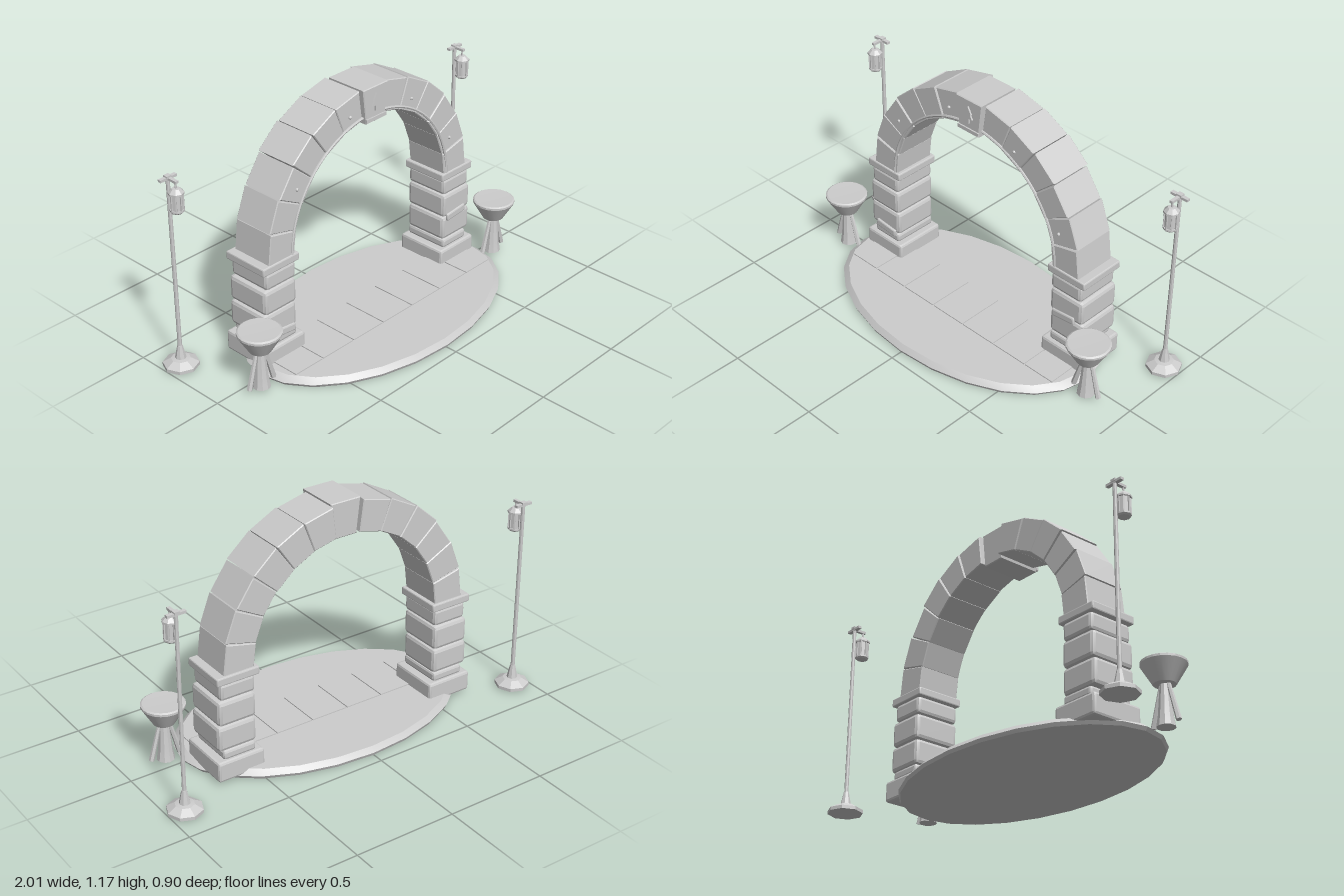
import * as THREE from 'three';
import { toCreasedNormals } from 'three/addons/utils/BufferGeometryUtils.js';
import { RoundedBoxGeometry } from 'three/addons/geometries/RoundedBoxGeometry.js';

const stone = new THREE.MeshStandardMaterial({ color: 0xcccccc });
stone.name = 'lightGreyStone';

function add(parent, name, geo, x = 0, y = 0, z = 0) {
  const mesh = new THREE.Mesh(toCreasedNormals(geo, 0.3), stone);
  mesh.name = name;
  mesh.position.set(x, y, z);
  parent.add(mesh);
  return mesh;
}

// box given by its limits on each axis
function block(parent, name, x0, x1, y0, y1, z0, z1, r = 0.012) {
  const geo = new RoundedBoxGeometry(x1 - x0, y1 - y0, z1 - z0, 1, r);
  return add(parent, name, geo, (x0 + x1) / 2, (y0 + y1) / 2, (z0 + z1) / 2);
}

const lathe = (pts, sides) =>
  new THREE.LatheGeometry(pts.map(([r, y]) => new THREE.Vector2(r, y)), sides);

// tapered rod from a to b
function rod(parent, name, a, b, rTop, rBottom, sides = 6) {
  const p = new THREE.Vector3(...a), q = new THREE.Vector3(...b);
  const dir = q.clone().sub(p);
  const mesh = add(parent, name, new THREE.CylinderGeometry(rTop, rBottom, dir.length(), sides));
  mesh.position.copy(p).add(q).multiplyScalar(0.5);
  mesh.quaternion.setFromUnitVectors(new THREE.Vector3(0, 1, 0), dir.normalize());
  return mesh;
}

// wedge stone of the arch, between two angles and two radii
const CENTRE_Y = 0.52;
function wedge(parent, name, a0, a1, rIn, rOut, zBack, zFront) {
  const bevel = 0.004;
  const at = (r, a) => new THREE.Vector2(r * Math.cos(a), CENTRE_Y + r * Math.sin(a));
  const shape = new THREE.Shape([
    at(rIn + bevel, a0), at(rOut - bevel, a0), at(rOut - bevel, a1), at(rIn + bevel, a1),
  ]);
  const geo = new THREE.ExtrudeGeometry(shape, {
    depth: zFront - zBack - 2 * bevel, bevelEnabled: true,
    bevelSize: bevel, bevelThickness: bevel, bevelSegments: 1,
  });
  add(parent, name, geo, 0, 0, zBack + bevel);
}

function makePillar(side) {
  const g = new THREE.Group();
  g.name = side > 0 ? 'leftPillar' : 'rightPillar';
  const span = (name, inner, outer, y0, y1, z0, z1, r) =>
    block(g, name, Math.min(side * inner, side * outer), Math.max(side * inner, side * outer), y0, y1, z0, z1, r);
  span('plinth', 0.465, 0.703, 0.015, 0.115, -0.262, 0.003);
  span('footCourse', 0.5, 0.665, 0.112, 0.158, -0.245, -0.015);
  span('lowerStone', 0.495, 0.69, 0.158, 0.282, -0.245, -0.017, 0.018);
  span('middleStone', 0.495, 0.685, 0.284, 0.407, -0.246, -0.013, 0.018);
  span('upperStone', 0.495, 0.672, 0.409, 0.494, -0.242, -0.015, 0.016);
  span('capital', 0.477, 0.692, 0.492, 0.531, -0.25, -0.01, 0.006);
  // raised tilted patch on the front face
  const patch = new RoundedBoxGeometry(0.13, 0.038, 0.016, 1, 0.007);
  const m = add(g, 'frontPatch', patch, side * 0.58, side > 0 ? 0.288 : 0.168, -0.012);
  m.rotation.z = side > 0 ? 0.1 : -0.1;
  return g;
}

function makeBrazier(side) {
  const g = new THREE.Group();
  g.name = side > 0 ? 'leftBrazier' : 'rightBrazier';
  g.position.set(side * 0.79, 0, 0.057);
  add(g, 'bowl', lathe([[0, 0.2], [0.05, 0.202], [0.098, 0.283], [0.102, 0.29], [0.102, 0.3],
    [0.094, 0.305], [0, 0.302]], 20));
  add(g, 'column', lathe([[0, 0.012], [0.042, 0.012], [0.034, 0.06], [0.021, 0.205], [0, 0.205]], 10));
  for (const s of [-1, 1])
    rod(g, 'sideLeg', [s * 0.072, 0.025, 0], [s * 0.02, 0.21, 0], 0.009, 0.013);
  return g;
}

function makeLamp(side) {
  const g = new THREE.Group();
  g.name = side > 0 ? 'leftLamp' : 'rightLamp';
  g.position.set(side * 0.92, 0, -0.33);
  add(g, 'foot', lathe([[0, 0.004], [0.083, 0.004], [0.083, 0.02], [0.045, 0.042], [0.026, 0.045],
    [0.012, 0.11], [0, 0.11]], 8));
  add(g, 'pole', new THREE.CylinderGeometry(0.009, 0.01, 0.92, 8), 0, 0.51, 0);
  add(g, 'crossBar', new THREE.BoxGeometry(0.09, 0.012, 0.018), 0, 0.957, 0);
  add(g, 'arm', new THREE.BoxGeometry(0.016, 0.012, 0.066), 0, 0.957, 0.028);
  add(g, 'poleCap', new THREE.BoxGeometry(0.026, 0.012, 0.024), 0, 0.964, 0);
  // hanging lantern
  const lantern = new THREE.Group();
  lantern.name = 'lantern';
  lantern.position.z = 0.05;
  g.add(lantern);
  add(lantern, 'hook', new THREE.CylinderGeometry(0.005, 0.005, 0.035, 6), 0, 0.94, 0);
  add(lantern, 'glass', new THREE.CylinderGeometry(0.027, 0.027, 0.09, 8), 0, 0.86, 0);
  add(lantern, 'lanternBase', lathe([[0, 0.811], [0.026, 0.811], [0.033, 0.818], [0.033, 0.826], [0, 0.826]], 8));
  add(lantern, 'lanternRoof', lathe([[0, 0.9], [0.036, 0.9], [0.036, 0.908], [0.018, 0.926], [0, 0.928]], 8));
  for (let i = 0; i < 8; i++) {
    const a = i * Math.PI / 4;
    add(lantern, 'lanternBar', new THREE.BoxGeometry(0.006, 0.08, 0.006),
      0.029 * Math.sin(a), 0.863, 0.029 * Math.cos(a)).rotation.y = a;
  }
  return g;
}

export function createModel() {
  const model = new THREE.Group();
  model.name = 'stoneArchway';

  // oval platform with a chamfered edge
  const platform = lathe([[0, 0], [0.985, 0], [1, 0.016], [0.955, 0.04], [0, 0.04]], 24);
  platform.scale(0.74, 1, 0.45);
  add(model, 'platform', platform);

  // row of thin paving slabs through the opening
  const paving = new THREE.Group();
  paving.name = 'paving';
  model.add(paving);
  for (let i = -3; i <= 3; i++) {
    const x0 = Math.max(i * 0.197 - 0.095, -0.66), x1 = Math.min(i * 0.197 + 0.095, 0.66);
    add(paving, 'pavingSlab', new THREE.BoxGeometry(x1 - x0, 0.006, 0.24), (x0 + x1) / 2, 0.042, 0.02);
  }

  for (const side of [-1, 1])
    model.add(makePillar(side), makeBrazier(side), makeLamp(side));

  // thirteen arch stones, the middle one a proud keystone
  const arch = new THREE.Group();
  arch.name = 'arch';
  model.add(arch);
  const step = Math.PI / 13, gap = 0.0095;
  const outer = [0.651, 0.655, 0.65, 0.656, 0.652, 0.648];
  for (let i = 0; i < 13; i++) {
    if (i === 6) continue;
    const k = i < 6 ? i : 12 - i;
    wedge(arch, 'archStone', i * step + gap, (i + 1) * step - gap, 0.497, outer[k],
      -0.237 + (i % 3) * 0.002, -0.018 - (i % 2) * 0.003);
  }
  wedge(arch, 'keystone', 6 * step + 0.006, 7 * step - 0.006, 0.484, 0.655, -0.213, 0.001);

  // thin moulding along the inner front edge
  class Arc extends THREE.Curve {
    getPoint(t, target = new THREE.Vector3()) {
      const a = Math.PI * t;
      return target.set(0.512 * Math.cos(a), CENTRE_Y + 0.512 * Math.sin(a), -0.019);
    }
  }
  add(arch, 'innerMoulding', new THREE.TubeGeometry(new Arc(), 40, 0.007, 6));
  add(arch, 'keystoneLip', new THREE.BoxGeometry(0.125, 0.018, 0.012), 0, 1.018, 0.002);

  // small studs
  for (const [x, y] of [[-0.473, 0.837], [-0.142, 1.061], [0.256, 1.013], [0.527, 0.714]])
    add(arch, 'stud', new THREE.SphereGeometry(0.008, 8, 6), x, y, -0.018);

  // plain tree ornament on the keystone
  const half = [[0.008, 1.055], [0.008, 1.08], [0.027, 1.08], [0.014, 1.104], [0.02, 1.104], [0, 1.14]];
  const tree = new THREE.Shape([...half, ...half.slice(0, -1).reverse().map(([x, y]) => [-x, y])]
    .map(([x, y]) => new THREE.Vector2(x, y)));
  add(arch, 'treeOrnament', new THREE.ExtrudeGeometry(tree, { depth: 0.009, bevelEnabled: false }), 0, 0, 0);

  return model;
}
